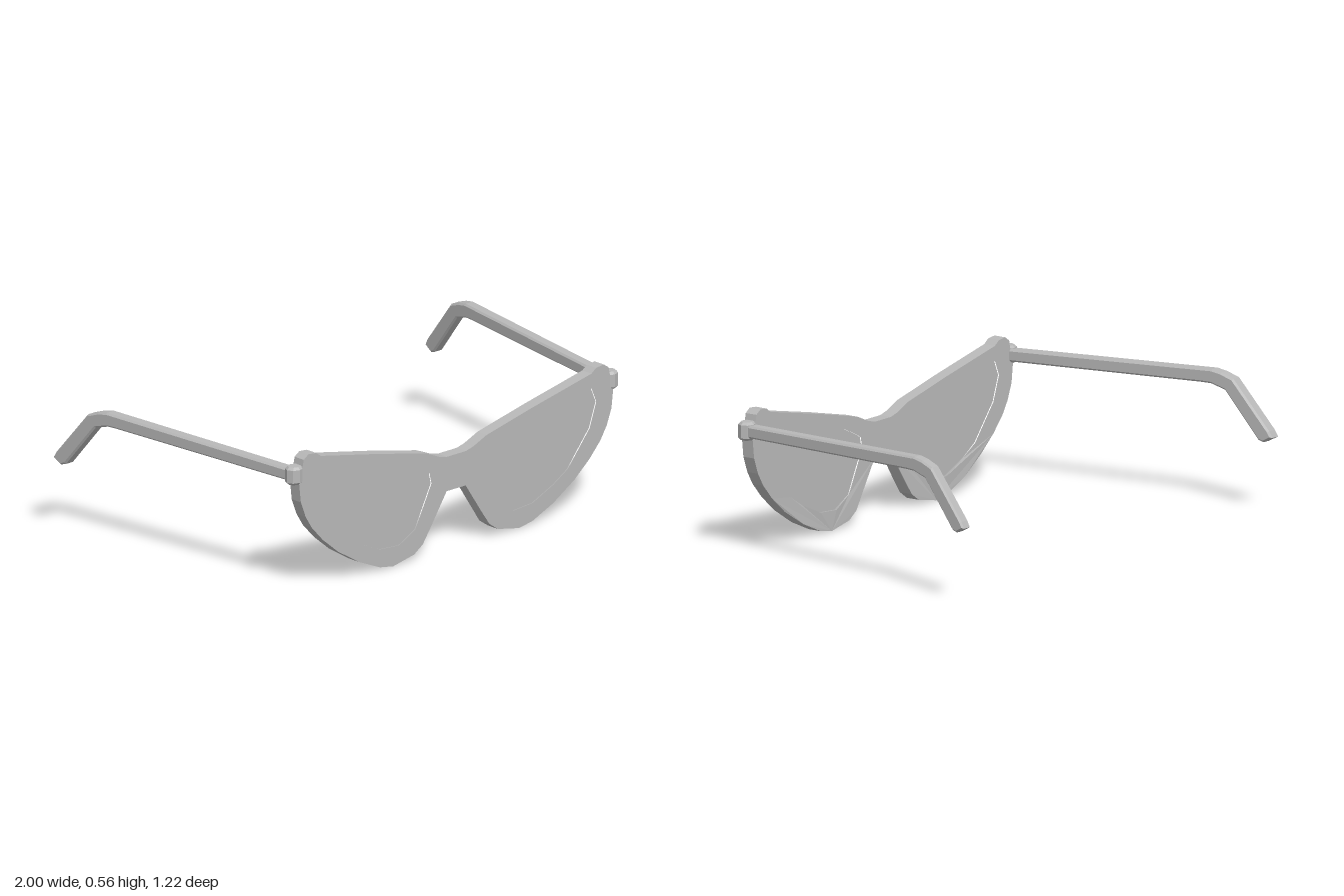
import * as THREE from 'three';

const grey = new THREE.MeshStandardMaterial({ color: 0xb8b8b8, flatShading: true });
grey.name = 'plain grey';

const FRONT = 0.6, BACK = 0.548;

// half outlines, listed for the +x side
const rimHalf = [
  [0.05, 0.38], [0.09, 0.39], [0.16, 0.42], [0.4, 0.475], [0.71, 0.54], [0.735, 0.558], [0.775, 0.562],
  [0.8, 0.545], [0.805, 0.52], [0.825, 0.46], [0.815, 0.375], [0.79, 0.31], [0.757, 0.257], [0.7, 0.195],
  [0.62, 0.128], [0.51, 0.06], [0.4, 0.012], [0.33, 0.0], [0.22, 0.022], [0.175, 0.053], [0.13, 0.118],
  [0.05, 0.24],
];
const lensHalf = [
  [0.13, 0.29], [0.14, 0.335], [0.165, 0.35], [0.245, 0.387], [0.71, 0.48], [0.735, 0.42], [0.7, 0.32],
  [0.585, 0.18], [0.51, 0.134], [0.4, 0.085], [0.3, 0.078], [0.215, 0.122],
];

const mirror = (pts) => pts.map(([x, y]) => [-x, y]).reverse();
const vectors = (pts) => pts.map(([x, y]) => new THREE.Vector2(x, y));

function mesh(name, geometry) {
  geometry.computeVertexNormals();
  const m = new THREE.Mesh(geometry, grey);
  m.name = name;
  return m;
}

// one-piece frame with two lens openings, a little thicker along the bottom
function frameFront() {
  const shape = new THREE.Shape(vectors([...rimHalf, ...mirror(rimHalf)]));
  shape.holes.push(new THREE.Path(vectors(lensHalf)), new THREE.Path(vectors(mirror(lensHalf))));
  const g = new THREE.ExtrudeGeometry(shape, { depth: FRONT - BACK, bevelEnabled: false });
  g.translate(0, 0, BACK);
  const p = g.attributes.position;
  for (let i = 0; i < p.count; i++) {
    if (p.getZ(i) < 0.57 && p.getY(i) < 0.1) p.setZ(i, 0.542);
  }
  return mesh('frameFront', g);
}

// lens set just below the faces of the rim
function lens(side) {
  const shape = new THREE.Shape(vectors(side > 0 ? lensHalf : mirror(lensHalf)));
  const inset = 0.004;
  const g = new THREE.ExtrudeGeometry(shape, { depth: FRONT - BACK - 2 * inset, bevelEnabled: false });
  g.translate(0, 0, BACK + inset);
  return mesh(side > 0 ? 'leftLens' : 'rightLens', g);
}

// faceted hinge knuckle with chamfered ends
function hinge(side) {
  const profile = [[0, -0.036], [0.027, -0.036], [0.038, -0.026], [0.038, 0.026], [0.027, 0.036], [0, 0.036]];
  const g = new THREE.LatheGeometry(vectors(profile), 8);
  g.scale(1, 1, 0.87);
  g.translate(side * 0.826, 0.485, 0.574);
  return mesh(side > 0 ? 'leftHinge' : 'rightHinge', g);
}

// temple arm: side profile as (-z, y), then splayed outward toward the ear
function temple(side) {
  const profile = [
    [-0.57, 0.46], [0.3, 0.479], [0.34, 0.478], [0.4, 0.46], [0.548, 0.279], [0.571, 0.272], [0.609, 0.293],
    [0.595, 0.318], [0.437, 0.507], [0.385, 0.526], [0.343, 0.534], [-0.57, 0.508],
  ];
  const width = 0.05, bevel = 0.007;
  const g = new THREE.ExtrudeGeometry(new THREE.Shape(vectors(profile)), {
    depth: width - 2 * bevel, bevelEnabled: true, bevelThickness: bevel,
    bevelSize: bevel, bevelOffset: -bevel, bevelSegments: 1,
  });
  g.translate(0, 0, bevel - width / 2);
  g.rotateY(Math.PI / 2);
  const p = g.attributes.position;
  for (let i = 0; i < p.count; i++) {
    p.setX(i, p.getX(i) + side * (0.825 + 0.13 * (0.55 - p.getZ(i))));
  }
  return mesh(side > 0 ? 'leftTemple' : 'rightTemple', g);
}

export function createModel() {
  const group = new THREE.Group();
  group.name = 'glasses';
  group.add(frameFront());
  for (const side of [1, -1]) group.add(lens(side), hinge(side), temple(side));
  return group;
}
